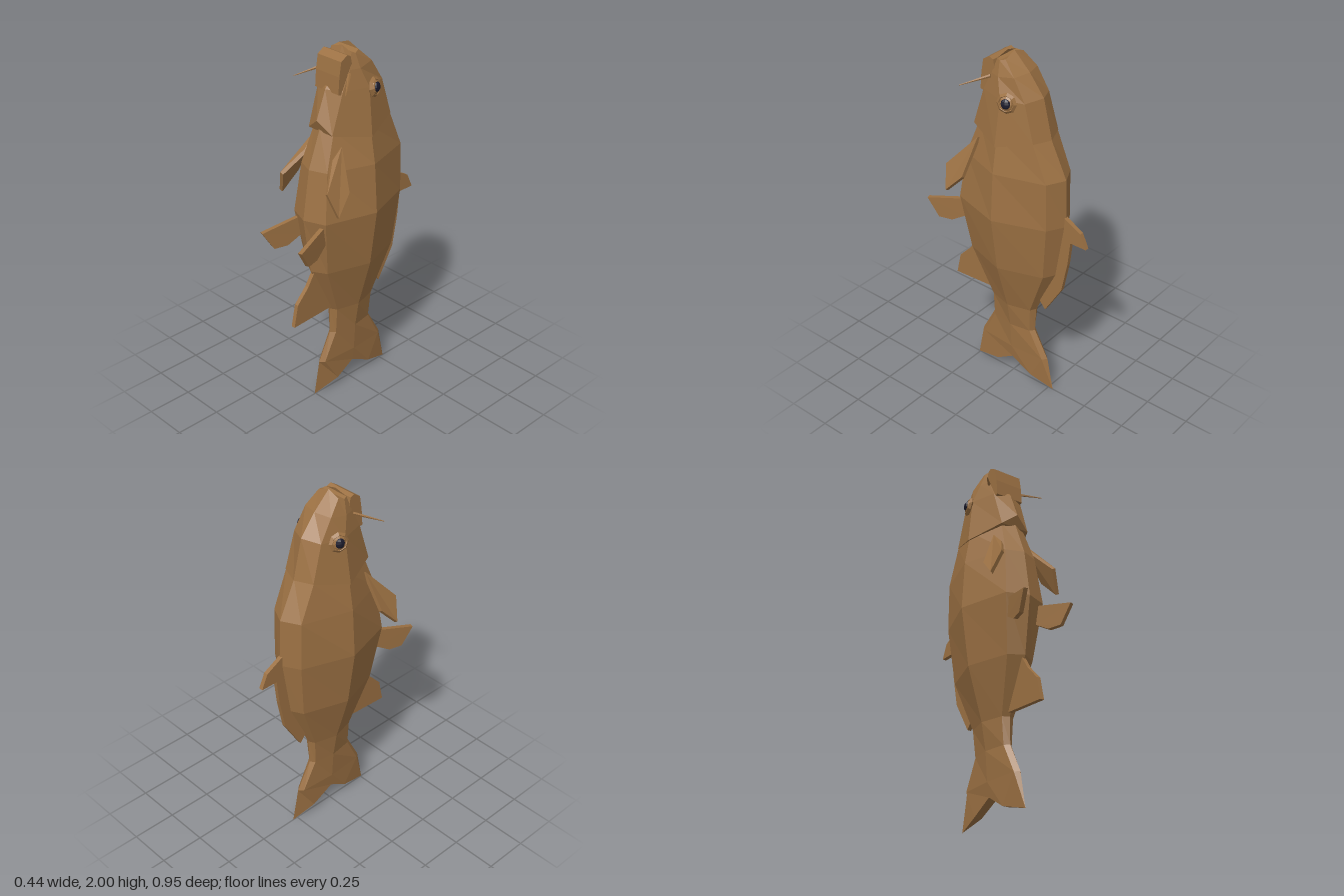
import * as THREE from 'three';

const brown = new THREE.MeshStandardMaterial({ color: 0x9c7143 });
brown.name = 'scaleBrown';
const navy = new THREE.MeshStandardMaterial({ color: 0x1b1b2c });
navy.name = 'pupilNavy';

// Faceted mesh from any geometry
function flat(name, geometry, material = brown) {
  const g = geometry.index ? geometry.toNonIndexed() : geometry;
  g.computeVertexNormals();
  const mesh = new THREE.Mesh(g, material);
  mesh.name = name;
  return mesh;
}

function fromTriangles(name, points) {
  return flat(name, new THREE.BufferGeometry().setFromPoints(points));
}

// Loft of mirrored half rings, listed bottom to top, each from spine to belly
function loft(name, halfRings) {
  const rings = halfRings.map((half) => {
    const right = half.map((p) => new THREE.Vector3(...p));
    const left = right.slice(1, -1).reverse().map((p) => new THREE.Vector3(-p.x, p.y, p.z));
    return [...right, ...left];
  });
  const tris = [];
  const n = rings[0].length;
  for (let r = 0; r < rings.length - 1; r++) {
    for (let i = 0; i < n; i++) {
      const j = (i + 1) % n, low = rings[r], up = rings[r + 1];
      tris.push(low[i], up[i], up[j], low[i], up[j], low[j]);
    }
  }
  // End caps, as strips from left to right
  const cap = (ring, flip) => {
    for (let i = 0; i < n / 2; i++) {
      const a = ring[(n - i) % n], b = ring[i], c = ring[i + 1], d = ring[n - i - 1];
      tris.push(...(flip ? [c, b, a, d, c, a] : [a, b, c, a, c, d]));
    }
  };
  cap(rings[0], false);
  cap(rings[rings.length - 1], true);
  return fromTriangles(name, tris);
}

// Thick plate from an outline in space that faces roughly sideways
function plate(name, outline, thickness) {
  let pts = outline.map((p) => new THREE.Vector3(...p));
  const project = () => pts.map((p) => new THREE.Vector2(p.z, p.y));
  if (THREE.ShapeUtils.isClockWise(project())) pts.reverse();
  const normal = new THREE.Vector3();
  pts.forEach((p, i) => normal.add(p.clone().cross(pts[(i + 1) % pts.length])));
  normal.normalize();
  if (normal.x < 0) normal.negate();
  const plus = pts.map((p) => p.clone().addScaledVector(normal, thickness / 2));
  const minus = pts.map((p) => p.clone().addScaledVector(normal, -thickness / 2));
  const tris = [];
  for (const [a, b, c] of THREE.ShapeUtils.triangulateShape(project(), [])) {
    tris.push(minus[a], minus[b], minus[c], plus[c], plus[b], plus[a]);
  }
  pts.forEach((_, i) => {
    const j = (i + 1) % pts.length;
    tris.push(plus[i], plus[j], minus[j], plus[i], minus[j], minus[i]);
  });
  return fromTriangles(name, tris);
}

// Level cross-section: spine z, back edge x z, flank x, belly edge x z, belly z
const section = (y, spine, bx, bz, flank, ex, ez, belly) =>
  [[0, y, spine], [bx, y, bz], [flank, y, -0.012], [ex, y, ez], [0, y, belly]];

export function createModel() {
  const model = new THREE.Group();
  model.name = 'fish';

  // Trunk and tail fin in one skin, with the forked edge at the bottom
  model.add(loft('bodyAndTail', [
    [[0, 0.005, -0.28], [0.022, 0.05, -0.14], [0.025, 0.12, -0.01], [0.022, 0.05, 0.1], [0, 0.005, 0.257]],
    section(0.2, -0.24, 0.022, -0.215, 0.035, 0.022, 0.195, 0.22),
    section(0.36, -0.15, 0.025, -0.13, 0.045, 0.025, 0.115, 0.138),
    section(0.51, -0.157, 0.035, -0.14, 0.07, 0.035, 0.115, 0.135),
    section(0.8, -0.295, 0.075, -0.255, 0.155, 0.08, 0.225, 0.27),
    section(1.12, -0.345, 0.1, -0.29, 0.2, 0.118, 0.27, 0.315),
    section(1.39, -0.336, 0.1, -0.285, 0.183, 0.095, 0.235, 0.272),
    section(1.59, -0.238, 0.1, -0.2, 0.148, 0.07, 0.165, 0.195),
    section(1.7, -0.18, 0.07, -0.15, 0.11, 0.06, 0.12, 0.15),
  ]));

  // Head, flaring to the gill edge
  model.add(loft('head', [
    [[0, 1.585, -0.241], [0.101, 1.59, -0.203], [0.164, 1.535, -0.01], [0.085, 1.575, 0.19], [0, 1.64, 0.215]],
    [[0, 1.8, -0.188], [0.095, 1.79, -0.145], [0.132, 1.79, -0.02], [0.088, 1.79, 0.12], [0, 1.79, 0.155]],
    [[0, 1.91, -0.1], [0.09, 1.905, -0.075], [0.103, 1.89, 0.015], [0.085, 1.89, 0.07], [0, 1.89, 0.08]],
    [[0, 2, -0.005], [0.068, 1.975, -0.005], [0.078, 1.965, 0.025], [0.07, 1.97, 0.045], [0, 1.99, 0.04]],
  ]));

  // Lower lip
  model.add(plate('lowerLip', [
    [0, 1.88, 0.045], [0, 1.96, 0.062], [0, 1.97, 0.085], [0, 1.945, 0.125],
    [0, 1.87, 0.138], [0, 1.78, 0.145], [0, 1.76, 0.08],
  ], 0.165));

  // Fins on the centre line
  model.add(plate('dorsalFin', [
    [0, 1.18, -0.33], [0, 1.12, -0.44], [0, 1.04, -0.477], [0, 1.04, -0.38], [0, 0.9, -0.365],
    [0, 0.72, -0.33], [0, 0.545, -0.225], [0, 0.6, -0.18], [0, 0.8, -0.26], [0, 1.04, -0.31],
  ], 0.023));
  model.add(plate('analFin', [
    [0, 0.8, 0.25], [0, 0.72, 0.3], [0, 0.64, 0.375], [0, 0.515, 0.402], [0, 0.53, 0.12],
  ], 0.023));

  for (const s of [1, -1]) {
    const side = s > 0 ? 'left' : 'right';
    const mirror = (points) => points.map(([x, y, z]) => [s * x, y, z]);

    // Paired fins
    model.add(plate(side + 'PectoralFin', mirror([
      [0.1, 1.51, 0.145], [0.19, 1.3, 0.18], [0.212, 1.2, 0.275],
      [0.165, 1.325, 0.308], [0.09, 1.45, 0.2],
    ]), 0.02));
    model.add(plate(side + 'PelvicFin', mirror([
      [0.085, 1.1, 0.25], [0.146, 1.05, 0.473], [0.128, 0.945, 0.41],
      [0.108, 0.945, 0.335], [0.088, 0.99, 0.26],
    ]), 0.023));

    // Tapered barbel
    const start = new THREE.Vector3(s * 0.088, 1.872, 0.075);
    const end = new THREE.Vector3(s * 0.184, 1.82, 0.195);
    const along = end.clone().sub(start);
    const barbel = flat(side + 'Barbel', new THREE.CylinderGeometry(0.002, 0.009, along.length(), 5));
    barbel.position.copy(start).add(end).multiplyScalar(0.5);
    barbel.quaternion.setFromUnitVectors(new THREE.Vector3(0, 1, 0), along.normalize());
    model.add(barbel);

    // Eye: eyeball, raised rim and pupil
    const eye = new THREE.Group();
    eye.name = side + 'Eye';
    const ball = flat('eyeball', new THREE.SphereGeometry(0.042, 8, 6));
    ball.scale.z = 0.55;
    const rim = flat('eyeRim', new THREE.TorusGeometry(0.041, 0.013, 4, 8));
    const pupil = flat('pupil', new THREE.SphereGeometry(0.027, 8, 6), navy);
    pupil.scale.z = 0.6;
    pupil.position.z = 0.014;
    eye.add(ball, rim, pupil);
    eye.position.set(s * 0.126, 1.78, -0.058);
    eye.lookAt(s * 1.046, 1.93, -0.358);
    model.add(eye);
  }
  return model;
}
